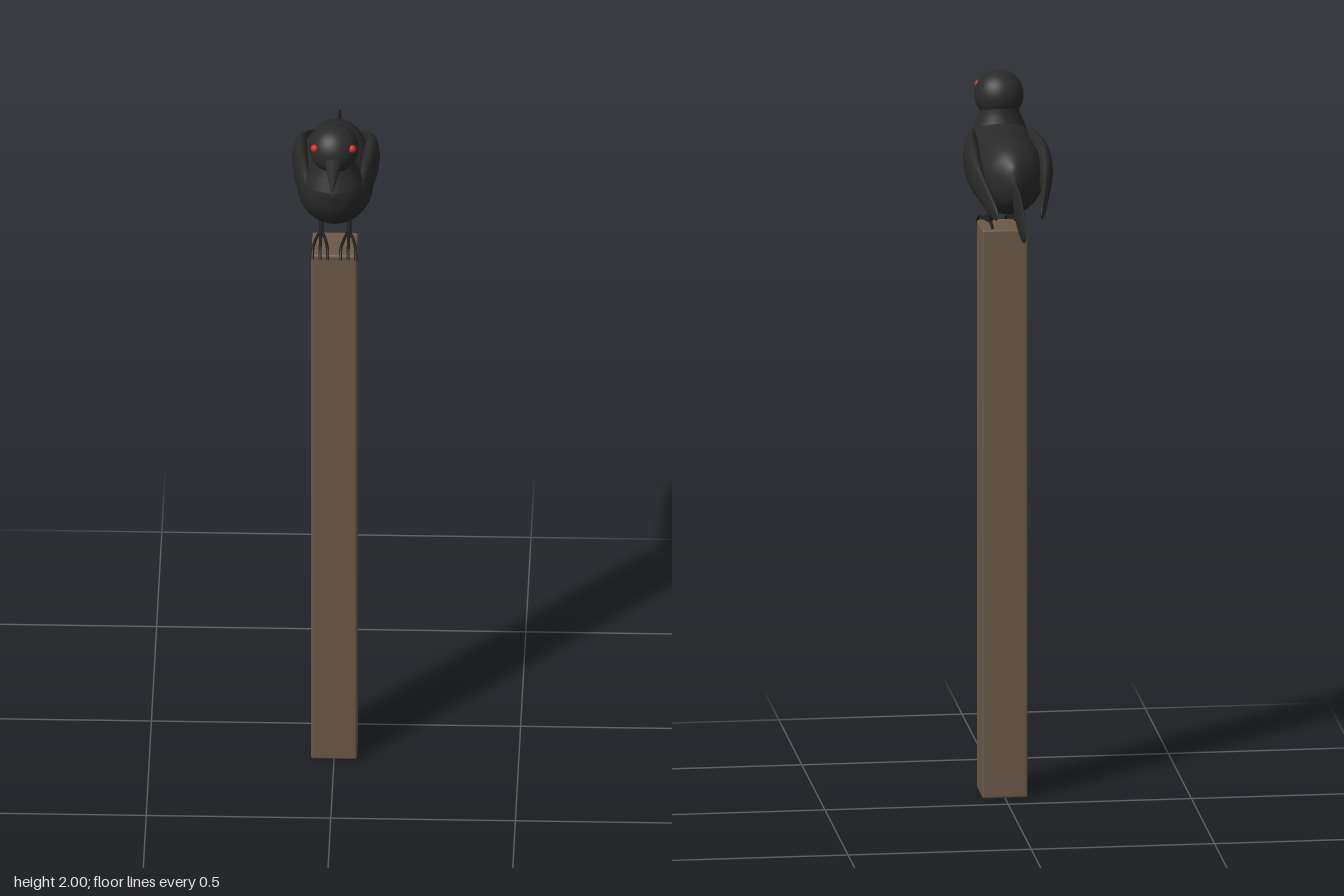
import * as THREE from 'three';
import { RoundedBoxGeometry } from 'three/addons/geometries/RoundedBoxGeometry.js';

const mat = (name, color) => Object.assign(new THREE.MeshStandardMaterial({ color }), { name });

// Smooth skin over elliptical sections [z, centreX, centreY, halfWidth, halfHeight], tail to head
function loft(sections, steps = 48, sides = 32) {
  const centres = new THREE.CatmullRomCurve3(sections.map(s => new THREE.Vector3(s[1], s[2], s[0])));
  const sizes = new THREE.CatmullRomCurve3(sections.map(s => new THREE.Vector3(s[3], s[4], s[0])));
  const pos = [], index = [];
  for (let i = 0; i <= steps; i++) {
    const c = centres.getPoint(i / steps), r = sizes.getPoint(i / steps);
    for (let j = 0; j < sides; j++) {
      const a = (j / sides) * Math.PI * 2;
      pos.push(c.x + Math.max(r.x, 0.0005) * Math.cos(a), c.y + Math.max(r.y, 0.0005) * Math.sin(a), c.z);
      if (i < steps) {
        const p = i * sides + j, q = i * sides + (j + 1) % sides;
        index.push(p, q, p + sides, q, q + sides, p + sides);
      }
    }
  }
  const g = new THREE.BufferGeometry();
  g.setAttribute('position', new THREE.Float32BufferAttribute(pos, 3));
  g.setIndex(index);
  g.computeVertexNormals();
  return g;
}

const tube = (points, radius) => new THREE.TubeGeometry(
  new THREE.CatmullRomCurve3(points.map(p => new THREE.Vector3(...p))), 12, radius, 8);

export function createModel() {
  const model = new THREE.Group();
  const feather = mat('black feather', 0x2a2a2a);
  const horn = mat('dark legs', 0x202020);
  const wood = mat('brown wood', 0x6b5947);
  const red = mat('red eye', 0xc42a1e);

  const add = (name, geometry, material, x = 0, y = 0, z = 0, parent = model) => {
    const m = new THREE.Mesh(geometry, material);
    m.name = name;
    m.position.set(x, y, z);
    parent.add(m);
    return m;
  };

  // Square post
  add('post', new RoundedBoxGeometry(0.124, 1.588, 0.126, 2, 0.006), wood, 0, 0.794, 0.127);

  const bird = new THREE.Group();
  bird.name = 'bird';
  model.add(bird);

  // Plump body, rounded at the rump and chest
  add('body', loft([
    [-0.155, 0, 1.765, 0, 0],
    [-0.142, 0, 1.765, 0.026, 0.048],
    [-0.10, 0, 1.765, 0.068, 0.084],
    [-0.04, 0, 1.763, 0.092, 0.106],
    [0.03, 0, 1.757, 0.102, 0.110],
    [0.10, 0, 1.755, 0.103, 0.108],
    [0.16, 0, 1.774, 0.094, 0.104],
    [0.21, 0, 1.793, 0.077, 0.088],
    [0.245, 0, 1.807, 0.049, 0.056],
    [0.262, 0, 1.815, 0, 0],
  ]), feather, 0, 0, 0, bird);

  // Neck and head
  const neck = [[0.078, 1.83], [0.066, 1.86], [0.055, 1.885], [0.053, 1.90], [0.05, 1.92]];
  add('neck', new THREE.LatheGeometry(neck.map(p => new THREE.Vector2(...p)), 32), feather, 0, 0, 0.19, bird);
  add('head', new THREE.SphereGeometry(0.067, 40, 28), feather, 0, 1.933, 0.2, bird);

  // Pointed beak, drooping slightly
  add('beak', loft([
    [0.225, 0, 1.924, 0.034, 0.026],
    [0.262, 0, 1.919, 0.023, 0.019],
    [0.30, 0, 1.913, 0.016, 0.013],
    [0.345, 0, 1.906, 0.009, 0.007],
    [0.385, 0, 1.901, 0.001, 0.001],
  ], 24, 20), feather, 0, 0, 0, bird);

  // Thin upright paddle tail
  const tail = add('tail', new THREE.SphereGeometry(1, 32, 24), feather, 0, 1.712, -0.243, bird);
  tail.scale.set(0.008, 0.055, 0.145);
  tail.rotation.x = -0.22;

  for (const s of [1, -1]) {
    const side = s > 0 ? 'left' : 'right';

    // Folded wing with a free tip
    add(side + 'Wing', loft([
      [-0.254, s * 0.058, 1.704, 0, 0],
      [-0.24, s * 0.062, 1.709, 0.005, 0.016],
      [-0.19, s * 0.074, 1.727, 0.009, 0.031],
      [-0.13, s * 0.086, 1.750, 0.012, 0.039],
      [-0.07, s * 0.094, 1.771, 0.019, 0.047],
      [0.0, s * 0.095, 1.786, 0.024, 0.055],
      [0.08, s * 0.090, 1.793, 0.023, 0.057],
      [0.15, s * 0.081, 1.798, 0.020, 0.050],
      [0.195, s * 0.072, 1.801, 0.014, 0.032],
      [0.215, s * 0.066, 1.803, 0, 0],
    ], 48, 24), feather, 0, 0, 0, bird);

    // Eye
    add(side + 'Eye', new THREE.SphereGeometry(0.011, 16, 12), red, s * 0.051, 1.954, 0.239, bird);

    // Leg, three front toes curling over the post edge, and a hind toe
    const foot = new THREE.Group();
    foot.name = side + 'Leg';
    foot.position.x = s * 0.038;
    bird.add(foot);
    add('shank', tube([[0, 1.68, 0.07], [0, 1.645, 0.077], [0, 1.606, 0.088]], 0.006), horn, 0, 0, 0, foot);
    for (const k of [-1, 0, 1]) {
      add('frontToe', tube([[0, 1.607, 0.088], [k * 0.012, 1.606, 0.13],
        [k * 0.02, 1.600, 0.178], [k * 0.021, 1.578, 0.199]], 0.0042), horn, 0, 0, 0, foot);
    }
    add('hindToe', tube([[0, 1.607, 0.09], [0, 1.606, 0.06], [0, 1.598, 0.025]], 0.0042), horn, 0, 0, 0, foot);
  }
  return model;
}
